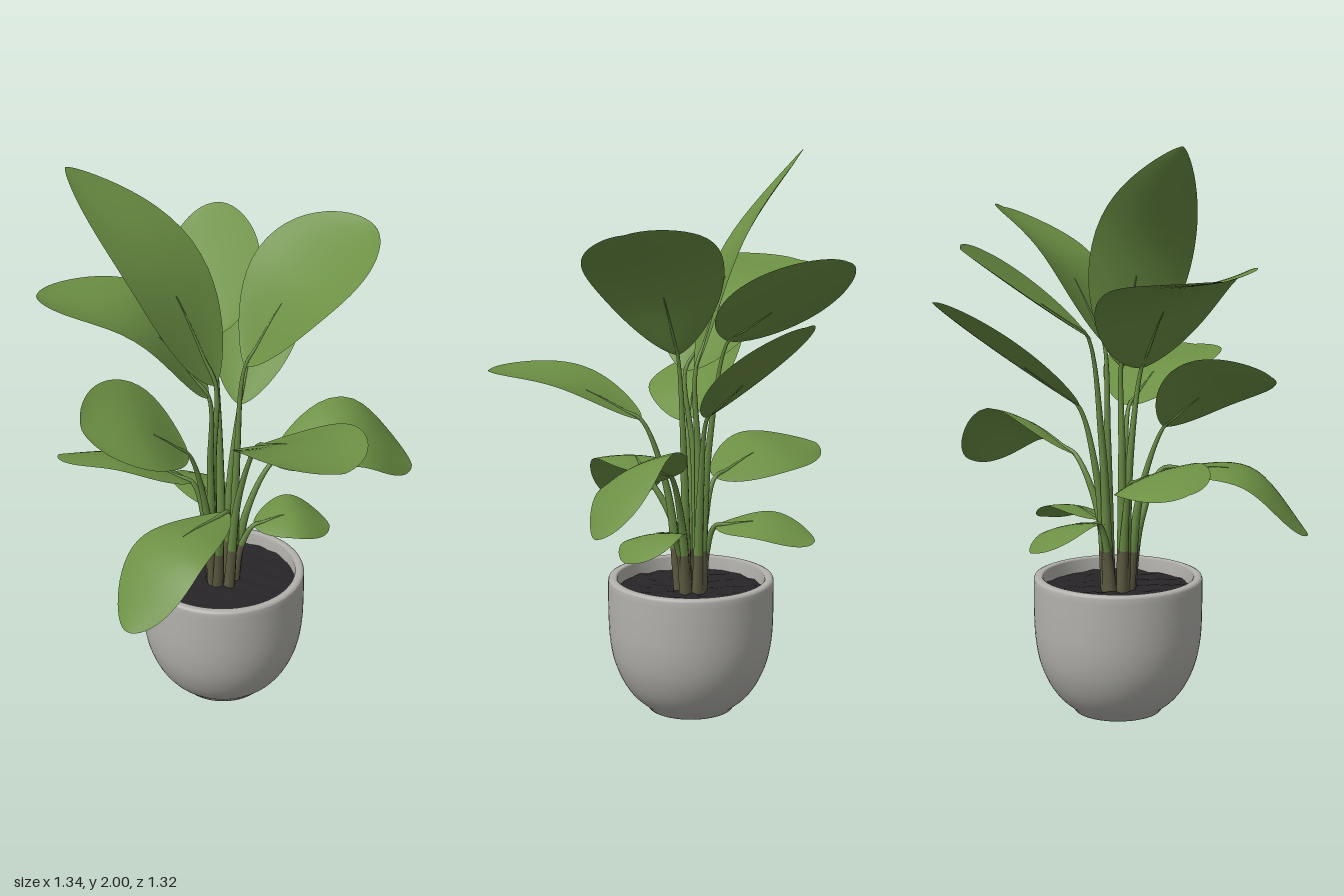
import * as THREE from 'three';

const mat = (name, color, side = THREE.FrontSide) => {
  const m = new THREE.MeshStandardMaterial({ color, side });
  m.name = name;
  return m;
};
const V = (a) => new THREE.Vector3(...a);
const CENTRE = [-0.06, 0, -0.033];

// base and tip of the midrib, arch: its bulge, roll: tilt about the midrib, half: half width
const LEAVES = [
  { name: 'tallTopLeaf', base: [-0.08, 1.24, -0.04], tip: [-0.54, 2, -0.25], arch: 0.075, roll: 0.5, half: 0.17, peak: 0.86, sharp: 0.75 },
  { name: 'upperLeftLeaf', base: [0.02, 1.31, -0.02], tip: [0.485, 1.77, -0.06], arch: 0.07, roll: -0.27, half: 0.235, peak: 1.3 },
  { name: 'upperRightLeaf', base: [-0.12, 1.23, 0.02], tip: [-0.665, 1.58, -0.19], arch: 0.11, roll: -0.1, half: 0.27 },
  { name: 'upperBackLeaf', base: [-0.05, 1.36, -0.18], tip: [0.05, 1.67, -0.66], arch: 0, roll: 0.38, half: 0.19, peak: 0.9 },
  { name: 'backLeaf', base: [0.03, 1.1, -0.14], tip: [0.26, 1.48, -0.6], arch: 0, roll: -0.12, half: 0.165, peak: 1.2 },
  { name: 'frontLeaf', base: [0.03, 1.07, 0.12], tip: [0.18, 1.23, 0.655], arch: 0.045, roll: 0, half: 0.21 },
  { name: 'middleRightLeaf', base: [-0.2, 1.03, 0.05], tip: [-0.585, 1.23, 0.16], arch: 0.045, roll: 0.47, half: 0.2, peak: 1.2 },
  { name: 'lowerBackRightLeaf', base: [-0.16, 0.84, -0.08], tip: [-0.61, 0.9, -0.29], arch: 0.05, roll: -0.3, half: 0.155 },
  { name: 'lowerFrontRightLeaf', base: [-0.09, 0.85, 0.17], tip: [-0.51, 0.62, 0.48], arch: 0.115, roll: -0.07, half: 0.155, peak: 1.2 },
  { name: 'lowerLeftLeaf', base: [0.13, 0.9, -0.05], tip: [0.665, 0.81, -0.06], arch: 0.145, roll: -0.5, half: 0.155 },
  { name: 'smallLeftLeaf', base: [0.05, 0.67, -0.01], tip: [0.335, 0.635, 0], arch: 0.05, roll: -0.22, half: 0.12 },
  { name: 'smallBackLeaf', base: [-0.06, 0.69, -0.13], tip: [-0.11, 0.66, -0.49], arch: 0.045, roll: -0.22, half: 0.11 },
];

// Midrib: a line from base to tip, bulged away from the blade's underside
function midrib({ base, tip, arch }) {
  const a = V(base), b = V(tip), d = b.clone().sub(a);
  const up = d.clone().cross(new THREE.Vector3(0, 1, 0)).cross(d).normalize();
  const mid = a.clone().lerp(b, 0.5).addScaledVector(up, arch);
  return new THREE.CatmullRomCurve3([a, mid, b]);
}

// Curved blade swept along the midrib; high leaves cup upwards, low leaves droop
function bladeGeometry({ base, tip, roll, half, peak = 1.08, sharp = 0.52 }, rib) {
  const NU = 28, NV = 10, pos = [], idx = [];
  const cup = base[1] < 1 ? -0.12 : 0.12;
  const axis = V(tip).sub(V(base)).normalize();
  const side = axis.clone().cross(new THREE.Vector3(0, 1, 0)).normalize().applyAxisAngle(axis, -roll);
  for (let i = 0; i <= NU; i++) {
    const u = (1 - Math.cos((Math.PI * i) / NU)) / 2;
    const c = rib.getPointAt(u), t = rib.getTangentAt(u);
    const s = side.clone().addScaledVector(t, -side.dot(t)).normalize();
    const n = s.clone().cross(t).normalize();
    const w = half * Math.pow(Math.max(0, Math.sin(Math.PI * Math.pow(u, peak))), sharp);
    for (let j = 0; j <= NV; j++) {
      const v = (2 * j) / NV - 1;
      const q = c.clone().addScaledVector(s, w * v).addScaledVector(n, cup * w * v * v);
      pos.push(q.x, q.y, q.z);
      if (i < NU && j < NV) {
        const a = i * (NV + 1) + j, b = a + NV + 1;
        idx.push(a, a + 1, b, b, a + 1, b + 1);
      }
    }
  }
  const g = new THREE.BufferGeometry();
  g.setAttribute('position', new THREE.Float32BufferAttribute(pos, 3));
  g.setIndex(idx);
  g.computeVertexNormals();
  return g;
}

// Tapered stalk that rises from the soil and fades into the midrib
function stalkGeometry(leaf, rib) {
  const base = V(leaf.base), tip = V(leaf.tip);
  const out = new THREE.Vector3(tip.x - CENTRE[0], 0, tip.z - CENTRE[2]).normalize();
  const start = V(CENTRE).addScaledVector(out, 0.04).setY(0.42);
  const knee = start.clone().lerp(base, 0.35).setY(THREE.MathUtils.lerp(start.y, base.y, 0.62));
  const path = new THREE.CatmullRomCurve3([start, knee, base, ...[0.12, 0.25, 0.38].map((u) => rib.getPointAt(u))]);
  const N = 40, R = 8, g = new THREE.TubeGeometry(path, N, 0.022, R);
  const p = g.attributes.position, q = new THREE.Vector3();
  for (let i = 0; i <= N; i++) {
    const c = path.getPointAt(i / N), k = 1 - 0.92 * (i / N);
    for (let j = 0; j <= R; j++) {
      const m = i * (R + 1) + j;
      q.fromBufferAttribute(p, m).sub(c).multiplyScalar(k).add(c);
      p.setXYZ(m, q.x, q.y, q.z);
    }
  }
  // Brownish sheath at the foot, green above
  const foot = Math.round((N * 0.17) / path.getLength()) * R * 6;
  g.addGroup(0, foot, 0);
  g.addGroup(foot, g.index.count - foot, 1);
  return g;
}

export function createModel() {
  const model = new THREE.Group();
  model.name = 'pottedPlant';
  const leafGreen = mat('leaf green', 0x6c9044, THREE.DoubleSide);
  const stemGreen = mat('stem green', 0x688a43);
  const sheathBrown = mat('sheath brown', 0x5e5b42);
  const potGrey = mat('pot grey', 0xb2b1ac);
  const soilBlack = mat('soil black', 0x272528);

  const add = (name, geo, material, parent = model) => {
    const m = new THREE.Mesh(geo, material);
    m.name = name;
    parent.add(m);
    return m;
  };

  // Pot: rounded bowl with a small flat foot and a hollow rim
  const points = (list) => list.map((a) => new THREE.Vector2(...a));
  const foot = points([[0, 0], [0.156, 0]]);
  const wall = new THREE.SplineCurve(points([[0.163, 0.012], [0.21, 0.052], [0.25, 0.11], [0.28, 0.185], [0.295, 0.27], [0.299, 0.37], [0.299, 0.48]])).getPoints(24);
  const rim = points([[0.296, 0.488], [0.288, 0.491], [0.272, 0.491], [0.266, 0.486], [0.264, 0.42]]);
  add('pot', new THREE.LatheGeometry([...foot, ...wall, ...rim], 64), potGrey).position.set(...CENTRE);

  // Soil: slightly uneven disc
  const soil = new THREE.RingGeometry(0.001, 0.266, 40, 8).rotateX(-Math.PI / 2);
  const sp = soil.attributes.position;
  for (let i = 0; i < sp.count; i++) sp.setY(i, 0.006 * Math.sin(sp.getX(i) * 60) * Math.cos(sp.getZ(i) * 53));
  soil.computeVertexNormals();
  add('soil', soil, soilBlack).position.set(CENTRE[0], 0.44, CENTRE[2]);

  // Leaves, each with its stalk
  for (const leaf of LEAVES) {
    const group = new THREE.Group();
    group.name = leaf.name;
    const rib = midrib(leaf);
    add('blade', bladeGeometry(leaf, rib), leafGreen, group);
    add('stalk', stalkGeometry(leaf, rib), [sheathBrown, stemGreen], group);
    model.add(group);
  }
  return model;
}
